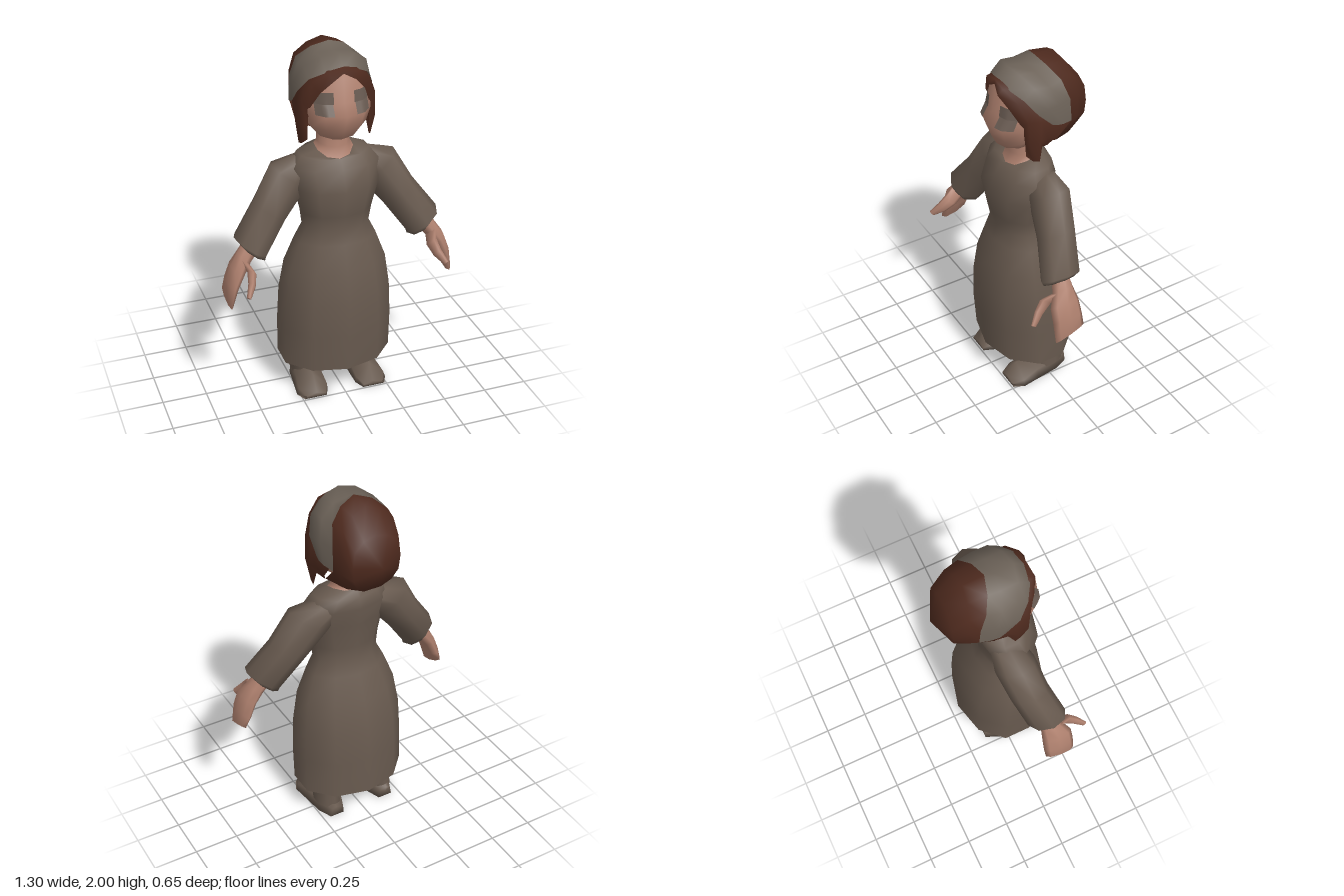
import * as THREE from 'three';
import { mergeVertices } from 'three/addons/utils/BufferGeometryUtils.js';

const mat = (name, color) => new THREE.MeshStandardMaterial({ name, color, side: THREE.DoubleSide });

// Smooth surface through rows of [x, y, z] points; side -1 mirrors it in x
function skin(name, rows, material, { closed = true, side = 1 } = {}) {
  const n = rows[0].length, index = [];
  const position = rows.flat().flatMap(([x, y, z]) => [x * side, y, z]);
  for (let i = 0; i < rows.length - 1; i++) {
    for (let j = 0; j < (closed ? n : n - 1); j++) {
      const k = (j + 1) % n;
      const a = i * n + j, b = i * n + k, c = a + n, d = b + n;
      if (side > 0) index.push(a, b, d, a, d, c);
      else index.push(a, d, b, a, c, d);
    }
  }
  let geo = new THREE.BufferGeometry();
  geo.setAttribute('position', new THREE.Float32BufferAttribute(position, 3));
  geo.setIndex(index);
  geo = mergeVertices(geo, 1e-5);
  geo.computeVertexNormals();
  const mesh = new THREE.Mesh(geo, material);
  mesh.name = name;
  return mesh;
}

// Ten-sided horizontal ring with a corner at the front; dip lowers its front
const ring = ([y, rx, front, back, dip = 0, cx = 0]) =>
  Array.from({ length: 10 }, (_, i) => {
    const a = (i / 10) * Math.PI * 2;
    return [cx + (rx * Math.sin(a)) / 0.951, y - dip * Math.max(0, Math.cos(a)),
      (front + back) / 2 + (Math.cos(a) * (front - back)) / 2];
  });

// Eight-sided ring across an arm: centre, half width, half depth, tilt
const armRing = ([x, y, z, w, d, tilt = 0]) =>
  Array.from({ length: 8 }, (_, i) => {
    const a = (i / 8) * Math.PI * 2, c = Math.cos(a) * w, s = Math.sin(a) * d;
    return [x + c * 0.82, y + c * 0.57 - s * tilt, z + s];
  });

const cap = (row) => {
  const c = [0, 1, 2].map((k) => row.reduce((t, p) => t + p[k], 0) / row.length);
  return row.map(() => c);
};
const capped = (rows) => [...rows, cap(rows[rows.length - 1])];

// Half hoop (crown to left side) mirrored into a full hoop
const hoop = (half) => [...half.slice(1).reverse().map(([x, y, z]) => [-x, y, z]), ...half];

const HEAD = [
  [1.52, 0.06, 0.15, 0.0], [1.54, 0.1, 0.185, -0.03], [1.6, 0.15, 0.215, -0.06],
  [1.68, 0.17, 0.245, -0.08], [1.74, 0.173, 0.207, -0.09], [1.86, 0.155, 0.188, -0.08],
  [1.91, 0.08, 0.13, -0.03],
];

// Depth of the face surface at x, y
function faceZ(x, y) {
  const i = HEAD.findIndex((r, k) => k < HEAD.length - 1 && HEAD[k + 1][0] >= y);
  const t = (y - HEAD[i][0]) / (HEAD[i + 1][0] - HEAD[i][0]);
  const row = ring(HEAD[i].map((v, k) => v + (HEAD[i + 1][k] - v) * t));
  const j = [0, 1].find((k) => row[k + 1][0] >= x) ?? 1;
  return row[j][2] + ((row[j + 1][2] - row[j][2]) * (x - row[j][0])) / (row[j + 1][0] - row[j][0]);
}

export function createModel() {
  const dress = mat('dress brown', 0x685a4f);
  const scarfGrey = mat('scarf grey', 0x6c6258);
  const flesh = mat('skin', 0xae806e);
  const hair = mat('hair brown', 0x4e2a1e);
  const eyeGrey = mat('eye grey', 0x6a5c53);
  const model = new THREE.Group();
  model.name = 'woman';

  // Dress, open at the hem and the neckline
  const neckline = [1.46, 0.1, 0.135, -0.065, 0.055];
  model.add(skin('dress', [
    [0.18, 0.31, 0.285, -0.22], [0.4, 0.31, 0.3, -0.217], [0.6, 0.3, 0.296, -0.205],
    [0.78, 0.273, 0.268, -0.16], [0.93, 0.217, 0.222, -0.1], [1.01, 0.178, 0.198, -0.07],
    [1.1, 0.19, 0.215, -0.075], [1.25, 0.225, 0.24, -0.09], [1.36, 0.24, 0.195, -0.11],
    [1.425, 0.19, 0.16, -0.1, 0.01], neckline,
  ].map(ring), dress));

  // Neck and head
  model.add(skin('neck', [neckline, [1.48, 0.085, 0.105, -0.05, 0.02],
    [1.58, 0.085, 0.105, -0.04]].map(ring), flesh));
  const headRows = HEAD.map(ring);
  model.add(skin('head', [cap(headRows[0]), ...capped(headRows)], flesh));

  for (const side of [1, -1]) {
    const word = side > 0 ? 'left' : 'right';

    // Sleeve
    model.add(skin(word + 'Sleeve', capped([
      [0.14, 1.36, 0.01, 0.08, 0.08], [0.245, 1.305, 0.02, 0.125, 0.112],
      [0.365, 1.135, 0.05, 0.106, 0.108], [0.49, 0.965, 0.1, 0.108, 0.11],
      [0.475, 0.925, 0.1, 0.08, 0.09],
    ].map(armRing)), dress, { side }));

    // Mitten hand and thumb
    model.add(skin(word + 'Hand', capped([
      [0.48, 0.97, 0.1, 0.05, 0.05], [0.53, 0.91, 0.11, 0.045, 0.06],
      [0.575, 0.85, 0.125, 0.042, 0.085], [0.608, 0.77, 0.125, 0.037, 0.088],
      [0.632, 0.685, 0.125, 0.024, 0.085, 0.35],
    ].map(armRing)), flesh, { side }));
    model.add(skin(word + 'Thumb', capped([
      [0.535, 0.89, 0.14, 0.03, 0.04, -0.5], [0.515, 0.855, 0.205, 0.03, 0.032, -0.8],
      [0.53, 0.81, 0.255, 0.024, 0.022, -1], [0.562, 0.765, 0.305, 0.014, 0.014, -0.8],
    ].map(armRing)), flesh, { side }));

    // Leg and boot
    model.add(skin(word + 'Leg', [
      [0.05, 0.07, 0.09, -0.12, 0, 0.17], [0.18, 0.067, 0.1, -0.11, 0, 0.168],
      [0.6, 0.08, 0.1, -0.1, 0, 0.16],
    ].map(ring), dress, { side }));
    const boot = [
      [-0.132, 0.12, 0.205, 0.05, 0.06], [-0.05, 0.09, 0.24, 0.07, 0.13],
      [0.08, 0.085, 0.255, 0.06, 0.12], [0.18, 0.085, 0.268, 0.035, 0.112],
      [0.24, 0.11, 0.24, 0.015, 0.03],
    ].map(([z, inner, outer, mid, top]) => [
      [inner, 0, z], [outer, 0, z], [outer - 0.012, mid, z], [0.17, top, z], [inner + 0.005, mid, z],
    ]);
    model.add(skin(word + 'Boot', [cap(boot[0]), ...capped(boot)], dress, { side }));

    // Eye and brow laid on the face
    for (const [part, x0, x1, y0, y1] of [
      ['Eye', 0.06, 0.145, 1.685, 1.74], ['Brow', 0.055, 0.162, 1.74, 1.8]]) {
      const rows = Array.from({ length: 4 }, (_, i) => Array.from({ length: 7 }, (_, j) => {
        const x = x0 + ((x1 - x0) * j) / 6, y = y0 + ((y1 - y0) * i) / 3;
        return [x, y, faceZ(x, y) + 0.008];
      }));
      model.add(skin(word + part, rows, eyeGrey, { closed: false, side }));
    }
  }

  // Parted hair framing the face, with a lock on each side
  model.add(skin('frontHair', [
    [[0, 1.895, 0.19], [0.06, 1.865, 0.208], [0.12, 1.8, 0.175], [0.165, 1.7, 0.125], [0.168, 1.6, 0.115], [0.167, 1.53, 0.11]],
    [[0, 1.925, 0.19], [0.08, 1.905, 0.19], [0.155, 1.85, 0.15], [0.2, 1.75, 0.115], [0.205, 1.62, 0.11], [0.19, 1.5, 0.08]],
    [[0, 1.93, 0.1], [0.08, 1.92, 0.09], [0.16, 1.86, 0.07], [0.203, 1.73, 0.04], [0.215, 1.62, 0.05], [0.195, 1.49, 0.045]],
    [[0, 1.93, 0], [0.08, 1.9, 0], [0.155, 1.84, -0.02], [0.193, 1.7, -0.04], [0.2, 1.62, 0], [0.185, 1.57, 0.025]],
    [[0, 1.92, -0.06], [0.08, 1.89, -0.08], [0.145, 1.83, -0.1], [0.178, 1.7, -0.13], [0.185, 1.6, -0.06], [0.16, 1.55, -0.02]],
  ].map(hoop), hair, { closed: false }));

  // Head scarf over the crown
  const scarfBack = [[0, 2.0, -0.035], [0.09, 1.97, -0.06], [0.16, 1.91, -0.1], [0.182, 1.8, -0.14], [0.185, 1.67, -0.15]];
  model.add(skin('headScarf', [
    [[0, 1.92, 0.18], [0.09, 1.9, 0.165], [0.163, 1.86, 0.12], [0.205, 1.78, 0.06], [0.208, 1.7, -0.02]],
    [[0, 1.98, 0.12], [0.09, 1.965, 0.1], [0.17, 1.91, 0.06], [0.215, 1.8, 0], [0.212, 1.69, -0.05]],
    [[0, 1.963, 0.02], [0.09, 1.955, 0.01], [0.175, 1.9, -0.02], [0.207, 1.8, -0.06], [0.205, 1.68, -0.09]],
    scarfBack,
  ].map(hoop), scarfGrey, { closed: false }));

  // Full hair at the back, closing to a blunt point
  const backRows = [
    [...scarfBack, [0.18, 1.58, -0.06], [0.11, 1.54, -0.03], [0, 1.52, -0.04]],
    [[0, 1.99, -0.15], [0.08, 1.96, -0.16], [0.145, 1.9, -0.18], [0.168, 1.8, -0.195], [0.168, 1.67, -0.195], [0.14, 1.57, -0.16], [0.08, 1.51, -0.11], [0, 1.49, -0.08]],
    [[0, 1.87, -0.25], [0.07, 1.855, -0.255], [0.125, 1.81, -0.262], [0.138, 1.73, -0.265], [0.13, 1.65, -0.262], [0.1, 1.59, -0.245], [0.05, 1.55, -0.225], [0, 1.535, -0.205]],
  ].map(hoop);
  backRows.push(backRows[0].map(() => [0, 1.72, -0.327]));
  model.add(skin('backHair', backRows, hair));

  return model;
}
